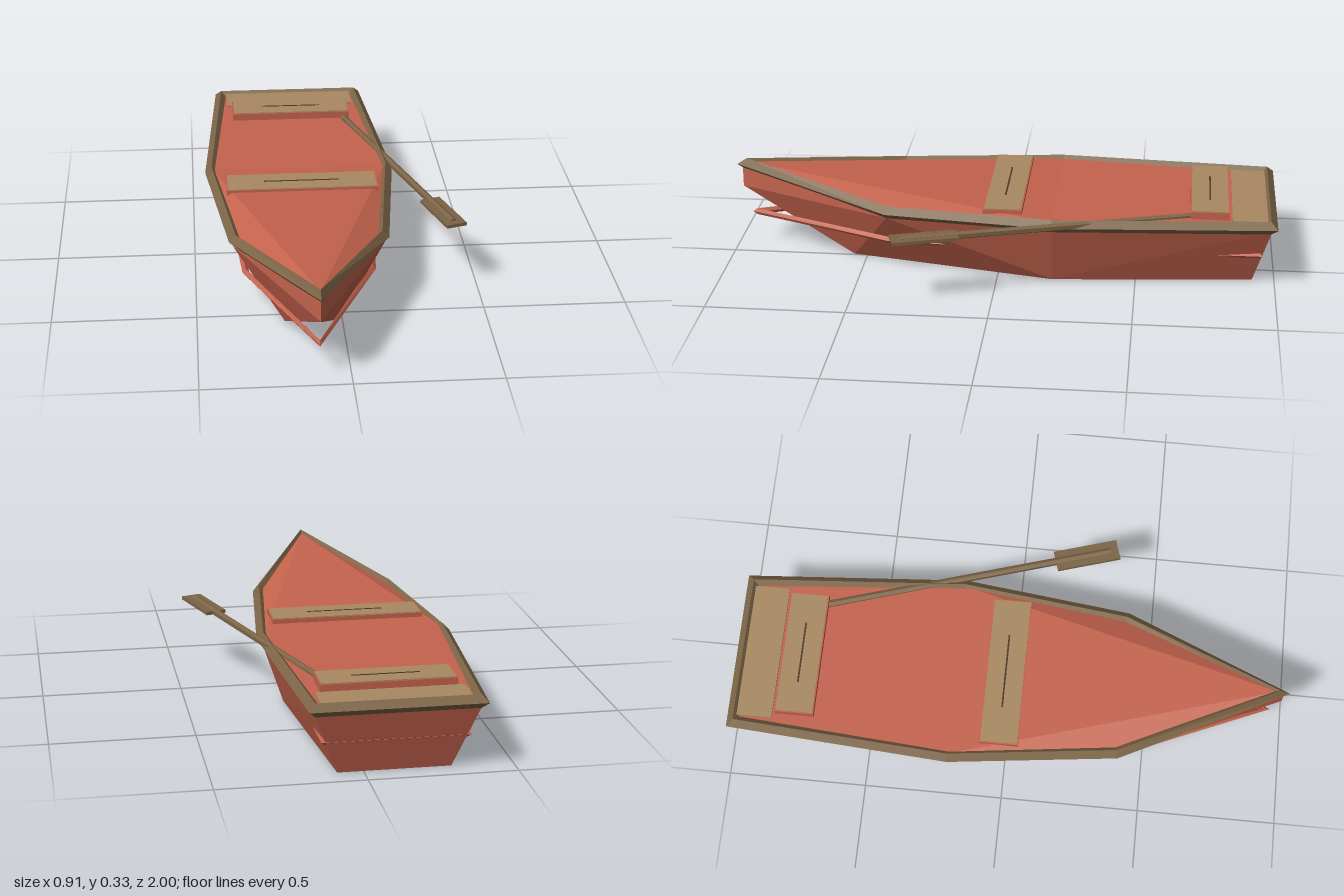
import * as THREE from 'three';

const material = (color) => new THREE.MeshStandardMaterial({ color, flatShading: true });
const red = material(0xc4634d);
const wood = material(0x7c6446);
const plank = material(0xa98a62);
const dark = material(0x4a3a28);

function addMesh(parent, name, geometry, mat, x = 0, y = 0, z = 0) {
  const mesh = new THREE.Mesh(geometry, mat);
  mesh.name = name;
  mesh.position.set(x, y, z);
  parent.add(mesh);
  return mesh;
}

// Flat polygons, each fanned into triangles
function facets(polygons) {
  const out = [];
  for (const p of polygons) {
    for (let i = 1; i < p.length - 1; i++) out.push(...p[0], ...p[i], ...p[i + 1]);
  }
  const geometry = new THREE.BufferGeometry();
  geometry.setAttribute('position', new THREE.Float32BufferAttribute(out, 3));
  geometry.computeVertexNormals();
  return geometry;
}

const flip = ([x, y, z]) => [-x, y, z];
const withMirror = (polys) => [...polys, ...polys.map((p) => p.map(flip).reverse())];

// Closed loop from a starboard half-outline (stern to bow), swept with a diamond section
function diamondLoop(half, r) {
  const pts = [...half, ...half.slice(0, -1).reverse().map(flip)];
  const n = pts.length;
  const normal = (a, b) => new THREE.Vector2(b[2] - a[2], a[0] - b[0]).normalize();
  const rings = pts.map((p, i) => {
    const a = normal(pts[(i + n - 1) % n], p);
    const b = normal(p, pts[(i + 1) % n]);
    const m = a.clone().add(b).normalize();
    const d = r * Math.min(1 / m.dot(a), 1.5);
    const [x, y, z] = p;
    return [
      [x + m.x * d, y, z + m.y * d], [x, y + r, z],
      [x - m.x * d, y, z - m.y * d], [x, y - r, z],
    ];
  });
  const polys = [];
  rings.forEach((ring, i) => {
    const next = rings[(i + 1) % n];
    for (let k = 0; k < 4; k++) {
      const l = (k + 1) % 4;
      polys.push([ring[k], ring[l], next[l], next[k]]);
    }
  });
  return facets(polys);
}

function addSeat(parent, name, width, z, grooveZ) {
  const seat = new THREE.Group();
  seat.name = name;
  addMesh(seat, 'seatBase', new THREE.BoxGeometry(width, 0.034, 0.14), red, 0, 0.255, z);
  addMesh(seat, 'seatTop', new THREE.BoxGeometry(width - 0.008, 0.008, 0.132), plank, 0, 0.271, z);
  addMesh(seat, 'seatGroove', new THREE.BoxGeometry(width * 0.5, 0.002, 0.006), dark, 0, 0.2755, grooveZ);
  parent.add(seat);
}

export function createModel() {
  const group = new THREE.Group();
  group.name = 'rowingBoat';
  const boat = new THREE.Group();
  boat.name = 'boat';
  boat.position.x = -0.103;
  group.add(boat);

  // Hull: rim, bow stem and flat bottom
  const r0 = [0.275, 0.225, -0.98], r1 = [0.33, 0.22, -0.2], r2 = [0.265, 0.22, 0.4];
  const stemTop = [0, 0.3, 0.98], stemFoot = [0, 0.22, 0.98];
  const b0 = [0.19, 0, -0.92], b1 = [0.255, 0, -0.2], b2 = [0.095, 0, 0.55];
  const side = [
    [r0, b1, b0], [r0, r1, b1], [r1, r2, b1],
    [r2, b2, b1], [r2, stemFoot, b2], [r2, stemTop, stemFoot],
  ];
  addMesh(boat, 'hull', facets([
    ...withMirror(side),
    [r0, b0, flip(b0), flip(r0)],
    [stemFoot, flip(b2), b2],
    [b0, b1, flip(b1), flip(b0)],
    [b1, b2, flip(b2), flip(b1)],
  ]), red);

  // Inner deck rising towards the bow
  const d0 = [0.27, 0.243, -0.975], d1 = [0.322, 0.25, -0.2];
  const d2 = [0.253, 0.242, 0.4], dBow = [0, 0.317, 0.955];
  addMesh(boat, 'deck', facets([
    [d0, flip(d0), flip(d1), d1],
    [d1, flip(d1), dBow],
    ...withMirror([[d1, dBow, d2]]),
  ]), red);

  // Gunwale around the rim, and the lower rub rail that shows at bow and stern
  addMesh(boat, 'gunwale', diamondLoop([
    [0.271, 0.238, -0.976], [0.326, 0.238, -0.2], [0.255, 0.238, 0.4], [0, 0.306, 0.964],
  ], 0.024), wood);
  addMesh(boat, 'rubRail', diamondLoop([
    [0.236, 0.117, -0.94], [0.24, 0.117, 0.1], [0.222, 0.117, 0.4], [0, 0.117, 0.932],
  ], 0.012), red);

  // Seats and stern board
  addSeat(boat, 'middleSeat', 0.55, -0.02, -0.02);
  addSeat(boat, 'sternSeat', 0.46, -0.76, -0.76);
  addMesh(boat, 'sternBoard', new THREE.BoxGeometry(0.5, 0.014, 0.14), plank, 0, 0.245, -0.91);

  // Oar resting over the left gunwale
  const oar = new THREE.Group();
  oar.name = 'oar';
  oar.position.set(0.1, 0.246, -0.7);
  oar.rotation.y = Math.atan2(0.315, 1.03);
  const shaft = new THREE.CylinderGeometry(0.014, 0.014, 1.12, 6).rotateX(Math.PI / 2);
  addMesh(oar, 'oarShaft', shaft, wood, 0, 0, 0.505);
  addMesh(oar, 'oarBlade', new THREE.BoxGeometry(0.075, 0.012, 0.235), wood, 0, 0, 0.977);
  group.add(oar);

  return group;
}
